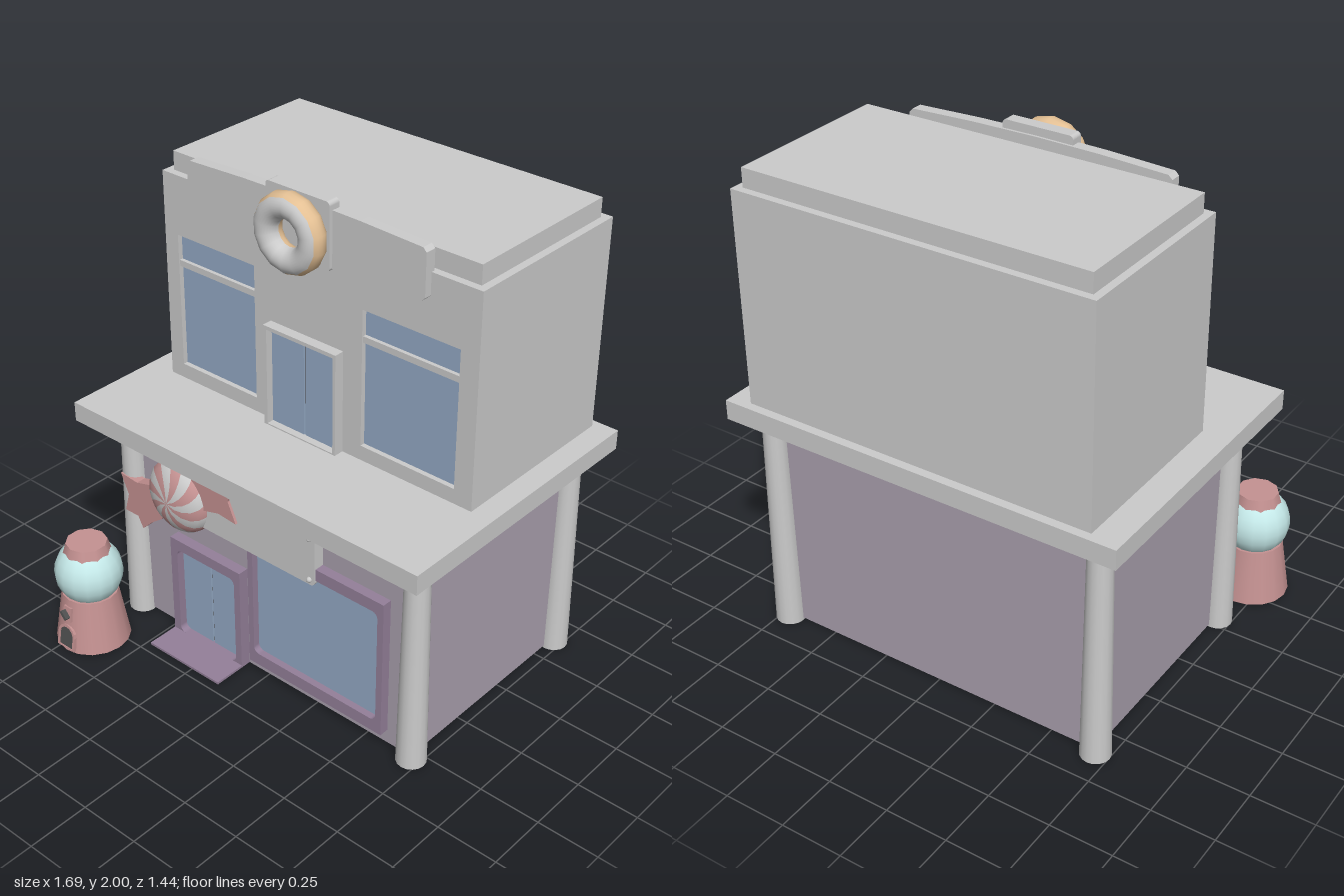
import * as THREE from 'three';
import { mergeGeometries } from 'three/addons/utils/BufferGeometryUtils.js';

const GREY = 0xcccccc, WALL = 0xaaa0ae, TRIM = 0x94809a, GLASS = 0x95aac5, PINK = 0xc59292,
  WHITE = 0xe8e8e8, DARK = 0x505050, GLOBE = 0xc4e8e8, DOUGH = 0xe4c094;

function mesh(parent, name, geometry, color = GREY, side = THREE.FrontSide) {
  const m = new THREE.Mesh(geometry, new THREE.MeshStandardMaterial({ color, side }));
  m.name = name;
  parent.add(m);
  return m;
}

// Box given by its limits on each axis
function box(parent, name, x0, x1, y0, y1, z0, z1, color) {
  const m = mesh(parent, name, new THREE.BoxGeometry(x1 - x0, y1 - y0, z1 - z0), color);
  m.position.set((x0 + x1) / 2, (y0 + y1) / 2, (z0 + z1) / 2);
  return m;
}

// Rectangle outline with rounded corners
function rect(x0, x1, y0, y1, r = 0) {
  const s = new THREE.Shape();
  if (!r) {
    return s.setFromPoints([[x0, y0], [x1, y0], [x1, y1], [x0, y1]].map(p => new THREE.Vector2(...p)));
  }
  s.absarc(x1 - r, y0 + r, r, -Math.PI / 2, 0);
  s.absarc(x1 - r, y1 - r, r, 0, Math.PI / 2);
  s.absarc(x0 + r, y1 - r, r, Math.PI / 2, Math.PI);
  s.absarc(x0 + r, y0 + r, r, Math.PI, Math.PI * 1.5);
  s.closePath();
  return s;
}

// Flat shape given thickness from z0 to z1, with optional holes
function panel(parent, name, shape, z0, z1, color, holes = []) {
  shape.holes.push(...holes);
  const g = new THREE.ExtrudeGeometry(shape, { depth: z1 - z0, bevelEnabled: false, curveSegments: 4 });
  g.translate(0, 0, z0);
  return mesh(parent, name, g, color);
}

// Double door: frame, dark gap and two glass leaves
function door(parent, name, outer, inner, z, depth, color, r) {
  const g = new THREE.Group();
  g.name = name;
  parent.add(g);
  panel(g, 'doorFrame', rect(...outer), z, z + depth, color, [rect(...inner, r)]);
  const [x0, x1, y0, y1] = inner, mid = (x0 + x1) / 2;
  box(g, 'doorGap', mid - 0.01, mid + 0.01, y0, y1, z, z + 0.005, DARK);
  box(g, 'doorLeafRight', x0 - 0.004, mid - 0.004, y0, y1 + 0.004, z, z + 0.012, GLASS);
  box(g, 'doorLeafLeft', mid + 0.004, x1 + 0.004, y0, y1 + 0.004, z, z + 0.012, GLASS);
}

// Twisted wedges of a ball, alternate ones selected by offset
function swirl(offset, count = 16) {
  const step = Math.PI * 2 / count, parts = [];
  for (let i = offset; i < count; i += 2) {
    const g = new THREE.SphereGeometry(1, 2, 12, i * step, step);
    const p = g.attributes.position, v = new THREE.Vector3(), up = new THREE.Vector3(0, 1, 0);
    for (let k = 0; k < p.count; k++) {
      v.fromBufferAttribute(p, k);
      v.applyAxisAngle(up, 0.45 * Math.acos(THREE.MathUtils.clamp(v.y, -1, 1)));
      p.setXYZ(k, v.x, v.y, v.z);
      g.attributes.normal.setXYZ(k, v.x, v.y, v.z);
    }
    parts.push(g);
  }
  return mergeGeometries(parts).rotateX(Math.PI / 2).scale(0.155, 0.155, 0.085);
}

// Arc of the ring's section spun round; angle 0 points outwards, 90 degrees to the front
function ringPart(from, to, R = 0.103, r = 0.05) {
  const pts = [];
  for (let i = 0; i <= 12; i++) {
    const a = THREE.MathUtils.degToRad(from + (to - from) * i / 12);
    pts.push(new THREE.Vector2(R + r * Math.cos(a), r * Math.sin(a)));
  }
  return new THREE.LatheGeometry(pts, 14).rotateX(Math.PI / 2);
}

function lowerFloor() {
  const g = new THREE.Group();
  g.name = 'lowerFloor';
  box(g, 'lowerWalls', -0.69, 0.71, 0.01, 0.93, -0.61, 0.29, WALL);
  box(g, 'canopySlab', -0.815, 0.845, 0.92, 1, -0.72, 0.47);
  for (const x of [-0.695, 0.713]) for (const z of [0.292, -0.615]) {
    const p = mesh(g, 'pillar', new THREE.CylinderGeometry(0.047, 0.059, 0.925, 16));
    p.position.set(x, 0.4625, z);
  }
  // Entrance and shop window
  door(g, 'shopDoor', [-0.47, -0.1, 0.01, 0.465], [-0.435, -0.13, 0.02, 0.42, 0].slice(0, 4), 0.29, 0.045, TRIM, 0.025);
  box(g, 'doorStep', -0.47, -0.1, 0.01, 0.02, 0.28, 0.47, TRIM);
  panel(g, 'windowFrame', rect(-0.06, 0.597, 0.07, 0.67), 0.29, 0.33, TRIM, [rect(-0.035, 0.57, 0.123, 0.62, 0.025)]);
  box(g, 'windowGlass', -0.04, 0.575, 0.118, 0.625, 0.285, 0.302, GLASS);
  return g;
}

function candySign() {
  const g = new THREE.Group();
  g.name = 'candySign';
  panel(g, 'signBoard', rect(-0.45, 0.28, 0.595, 0.82, 0.02), 0.29, 0.335, GREY);
  for (const y of [0.617, 0.798]) {
    const s = mesh(g, 'signScrew', new THREE.SphereGeometry(0.012, 10, 6));
    s.position.set(0.255, y, 0.336);
  }
  const candy = new THREE.Group();
  candy.name = 'candy';
  candy.position.set(-0.41, 0.68, 0.318);
  g.add(candy);
  mesh(candy, 'pinkStripes', swirl(0), PINK);
  mesh(candy, 'whiteStripes', swirl(1), WHITE);
  // Twisted wrapper ends, the same shape turned half way round
  const outline = [[0.05, 0.06], [0.09, 0.14], [0.15, 0.185], [0.2, 0.235], [0.225, 0.187], [0.295, 0.187],
    [0.272, 0.105], [0.31, 0.02], [0.22, 0.028], [0.14, 0.005]].map(p => new THREE.Vector2(...p));
  for (const turn of [0, Math.PI]) {
    panel(candy, 'wrapperEnd', new THREE.Shape(outline), -0.015, 0.028, PINK).rotation.z = turn;
  }
  return g;
}

function upperFloor() {
  const g = new THREE.Group();
  g.name = 'upperFloor';
  box(g, 'upperWalls', -0.7, 0.755, 1, 1.85, -0.685, 0.035);
  const windows = [[-0.635, -0.25, 1.06, 1.61], [0.257, 0.677, 1.06, 1.61]];
  panel(g, 'frontWall', rect(-0.7, 0.755, 1, 1.85), 0.035, 0.06, GREY, windows.map(w => rect(...w)));
  for (const w of windows) {
    box(g, 'upperGlass', ...w, 0.03, 0.04, GLASS);
    box(g, 'windowBar', w[0], w[1], 1.48, 1.505, 0.035, 0.055);
  }
  box(g, 'roofCap', -0.67, 0.725, 1.84, 1.925, -0.655, 0.03);
  door(g, 'balconyDoor', [-0.172, 0.172, 1, 1.415], [-0.157, 0.16, 1.005, 1.4], 0.06, 0.042, GREY, 0);
  return g;
}

function roofSign() {
  const g = new THREE.Group();
  g.name = 'roofSign';
  // Long board with gently bowed top and bottom
  const s = new THREE.Shape();
  s.moveTo(-0.525, 1.75);
  s.quadraticCurveTo(0, 1.725, 0.53, 1.75);
  s.lineTo(0.545, 1.765);
  s.lineTo(0.545, 1.93);
  s.lineTo(0.53, 1.945);
  s.quadraticCurveTo(0, 1.972, -0.525, 1.945);
  s.lineTo(-0.54, 1.93);
  s.lineTo(-0.54, 1.765);
  s.closePath();
  panel(g, 'signBoard', s, 0.045, 0.09, GREY);
  panel(g, 'ringPlate', rect(-0.145, 0.145, 1.73, 1.99, 0.015), 0.055, 0.105, GREY);
  const ring = new THREE.Group();
  ring.name = 'doughnut';
  ring.position.set(0, 1.847, 0.142);
  g.add(ring);
  mesh(ring, 'dough', ringPart(-180, 42), DOUGH, THREE.DoubleSide);
  mesh(ring, 'icing', ringPart(42, 180), WHITE, THREE.DoubleSide);
  return g;
}

function gumballMachine() {
  const g = new THREE.Group();
  g.name = 'gumballMachine';
  g.position.set(-0.7, 0, 0.565);
  mesh(g, 'machineBase', new THREE.CylinderGeometry(0.113, 0.149, 0.225, 16), PINK).position.y = 0.1225;
  mesh(g, 'globe', new THREE.SphereGeometry(0.136, 16, 12), GLOBE).position.y = 0.322;
  mesh(g, 'cap', new THREE.CylinderGeometry(0.082, 0.097, 0.05, 10), PINK).position.y = 0.436;
  // Chute and crank lie on the sloping front
  const front = new THREE.Group();
  front.name = 'dispenser';
  front.position.set(0, 0.02, 0.146);
  front.rotation.x = -0.16;
  g.add(front);
  const arch = (w, y0, h) => {
    const a = new THREE.Shape();
    a.moveTo(-w, y0);
    a.lineTo(w, y0);
    a.lineTo(w, h - w);
    a.absarc(0, h - w, w, 0, Math.PI);
    a.closePath();
    return a;
  };
  panel(front, 'chuteFrame', arch(0.046, 0, 0.106), -0.025, 0.006, PINK, [arch(0.036, 0.006, 0.094)]);
  panel(front, 'chuteOpening', arch(0.037, 0.004, 0.096), -0.025, 0.002, DARK);
  box(front, 'crankPlate', -0.021, 0.021, 0.125, 0.188, -0.02, 0.008, PINK);
  box(front, 'crankHandle', -0.02, 0.02, 0.15, 0.163, 0.005, 0.03, DARK).rotation.z = -0.7;
  front.getObjectByName('crankHandle').position.y = 0.157;
  return g;
}

export function createModel() {
  const model = new THREE.Group();
  model.name = 'sweetShop';
  model.add(lowerFloor(), candySign(), upperFloor(), roofSign(), gumballMachine());
  return model;
}
